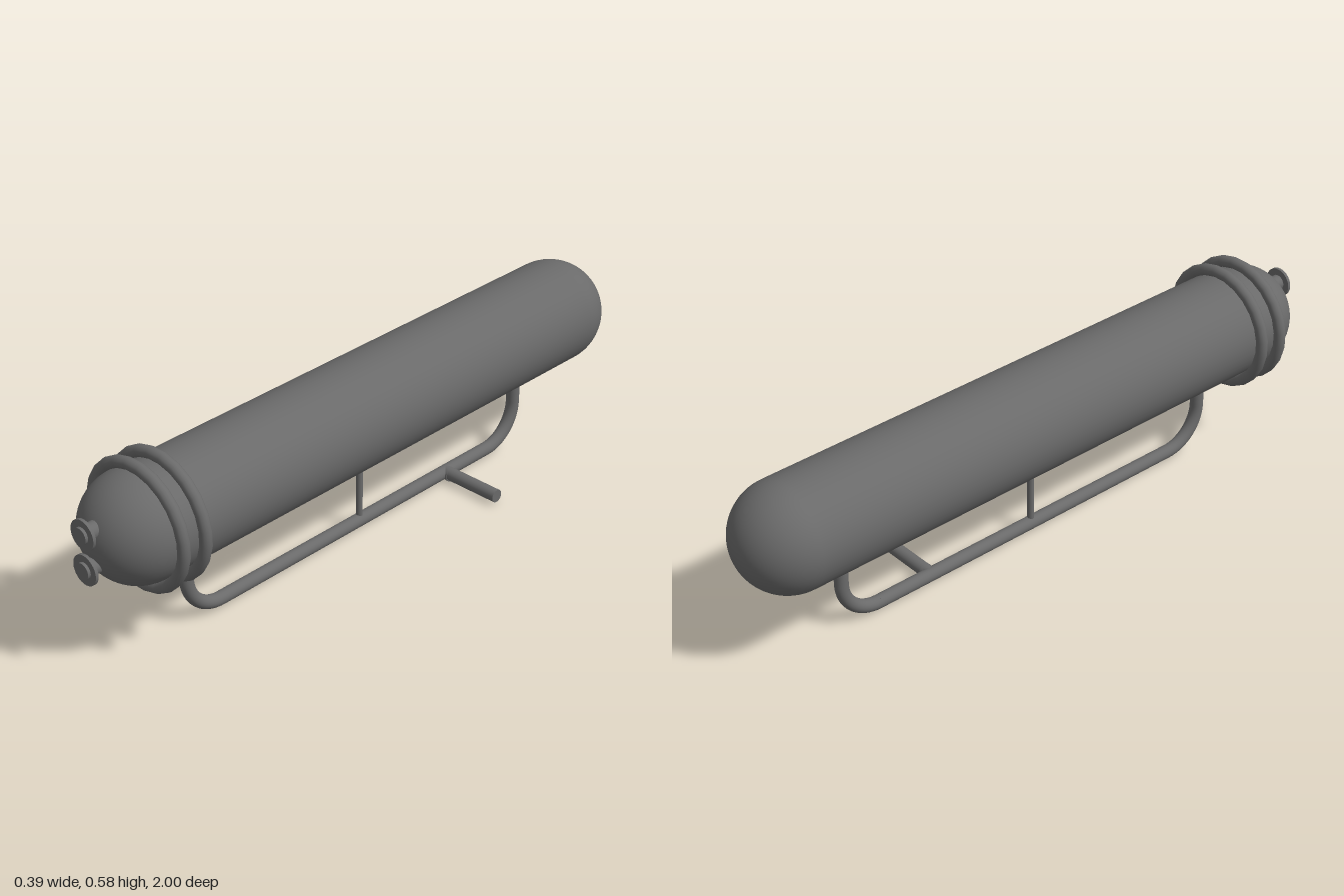
import * as THREE from 'three';

export function createModel() {
  const model = new THREE.Group();
  const material = new THREE.MeshStandardMaterial({ color: 0x6a6a6a });
  const cx = -0.006, cy = 0.388, tankRadius = 0.158;

  const add = (name, geometry, x = 0, y = 0, z = 0) => {
    const mesh = new THREE.Mesh(geometry, material);
    mesh.name = name;
    mesh.position.set(x, y, z);
    model.add(mesh);
  };
  const rodZ = (r, length) => new THREE.CylinderGeometry(r, r, length, 32).rotateX(Math.PI / 2);
  const rodX = (r, length) => new THREE.CylinderGeometry(r, r, length, 24).rotateZ(Math.PI / 2);

  // Long tank with domed ends
  const back = -1, front = 0.968;
  const straight = front - back - 2 * tankRadius;
  add('tank', new THREE.CapsuleGeometry(tankRadius, straight, 20, 48).rotateX(Math.PI / 2),
    cx, cy, (front + back) / 2);

  // Pair of hoops gripping the tank near the front
  for (const z of [0.81, 0.735]) {
    add('hoop', new THREE.TorusGeometry(0.1755, 0.0175, 14, 24).rotateZ(Math.PI / 24),
      cx, cy - 0.001, z);
  }

  // Two flanged nozzles on the front dome
  for (const y of [0.439, 0.334]) {
    add('nozzlePipe', rodZ(0.024, 0.1), cx, y, 0.95);
    add('nozzleFlange', rodZ(0.044, 0.009), cx, y, 0.987);
  }

  // Bent handrail pipe below the tank
  const zFront = 0.655, zBack = -0.684, yRail = 0.024, bend = 0.12, k = bend * 0.448;
  const v = (y, z) => new THREE.Vector3(cx, y, z);
  const railRadius = 0.02;
  const addBend = (z, s) => {
    const curve = new THREE.CubicBezierCurve3(
      v(yRail + bend, z), v(yRail + k, z), v(yRail, z + s * k), v(yRail, z + s * bend));
    add('railBend', new THREE.TubeGeometry(curve, 16, railRadius, 24));
    const top = 0.26, bottom = yRail + bend;
    add('railLeg', new THREE.CylinderGeometry(railRadius, railRadius, top - bottom, 24),
      cx, (top + bottom) / 2, z);
  };
  addBend(zFront, -1);
  addBend(zBack, 1);
  add('rail', rodZ(railRadius, zFront - zBack - 2 * bend), cx, yRail, (zFront + zBack) / 2);

  // Thin strut in the middle
  add('strut', new THREE.CylinderGeometry(0.01, 0.01, 0.23, 20), cx, 0.14, -0.01);

  // Side peg with a small collar where it meets the rail
  add('sidePeg', rodX(0.02, 0.203), 0.0955, yRail, -0.38);
  add('sidePegCollar', rodX(0.022, 0.008), 0.015, 0.022, -0.38);

  return model;
}
